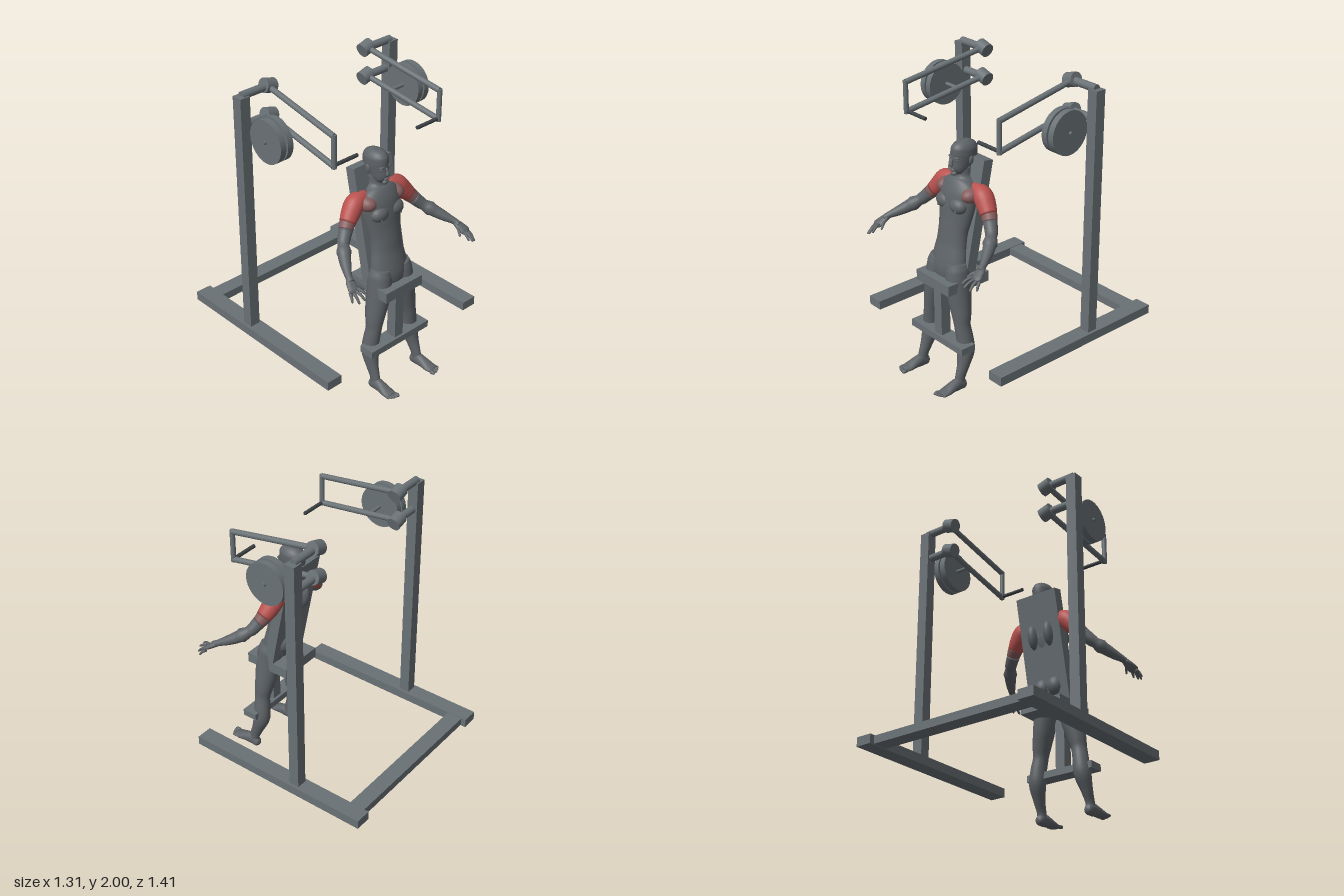
import * as THREE from 'three';

const mat = (name, color) => {
  const m = new THREE.MeshStandardMaterial({ color });
  m.name = name;
  return m;
};

// Smooth body from elliptical cross-sections: rows of [x, y, z, rx, rz]
function loft(rows, seg = 24, sub = 4) {
  const centre = new THREE.CatmullRomCurve3(rows.map(r => new THREE.Vector3(r[0], r[1], r[2])));
  const size = new THREE.CatmullRomCurve3(rows.map(r => new THREE.Vector3(r[3], r[4] ?? r[3], 0)));
  const n = (rows.length - 1) * sub, pos = [], idx = [];
  for (let k = 0; k <= n; k++) {
    const c = centre.getPoint(k / n), r = size.getPoint(k / n), t = centre.getTangent(k / n);
    const u = new THREE.Vector3(1, 0, 0).addScaledVector(t, -t.x).normalize();
    const v = t.clone().cross(u);
    for (let i = 0; i < seg; i++) {
      const a = (i / seg) * Math.PI * 2;
      const p = c.clone().addScaledVector(u, Math.cos(a) * r.x).addScaledVector(v, Math.sin(a) * r.y);
      pos.push(p.x, p.y, p.z);
    }
  }
  pos.push(...centre.getPoint(0).toArray(), ...centre.getPoint(1).toArray());
  const first = (n + 1) * seg, last = first + 1;
  for (let i = 0; i < seg; i++) {
    const j = (i + 1) % seg;
    for (let k = 0; k < n; k++) {
      const a = k * seg, b = a + seg;
      idx.push(a + i, a + j, b + i, a + j, b + j, b + i);
    }
    idx.push(first, j, i, last, n * seg + i, n * seg + j);
  }
  const g = new THREE.BufferGeometry();
  g.setAttribute('position', new THREE.Float32BufferAttribute(pos, 3));
  g.setIndex(idx);
  g.computeVertexNormals();
  return g;
}

export function createModel() {
  const steel = mat('frame grey', 0x697175);
  const skin = mat('body grey', 0x5e6367);
  const red = mat('muscle red', 0xb9524f);
  const fade = mat('muted red', 0x855c5c);
  const grip = mat('grip dark grey', 0x3c4245);

  const model = new THREE.Group();
  const machine = new THREE.Group(), figure = new THREE.Group();
  machine.name = 'pressMachine';
  figure.name = 'figure';
  model.add(machine, figure);

  const add = (parent, name, geo, m) => {
    const mesh = new THREE.Mesh(geo, m);
    mesh.name = name;
    parent.add(mesh);
    return mesh;
  };
  const box = (name, w, h, d, x, y, z) => {
    const b = add(machine, name, new THREE.BoxGeometry(w, h, d), steel);
    b.position.set(x, y, z);
    return b;
  };
  const rod = (name, a, b, r, m = steel, seg = 24) => {
    const p = new THREE.Vector3(...a), q = new THREE.Vector3(...b);
    const c = add(machine, name, new THREE.CylinderGeometry(r, r, p.distanceTo(q), seg), m);
    c.position.copy(p).add(q).multiplyScalar(0.5);
    c.quaternion.setFromUnitVectors(new THREE.Vector3(0, 1, 0), q.sub(p).normalize());
  };
  const blob = (name, p, r, m = skin, tilt = 0) => {
    const e = add(figure, name, new THREE.SphereGeometry(1, 24, 16), m);
    e.position.set(...p);
    e.scale.set(...r);
    e.rotation.x = tilt;
    return e;
  };
  const body = (name, rows, m = skin, seg = 24) => add(figure, name, loft(rows, seg), m);

  // Base, backrest, seat and foot bar
  box('rearCrossbar', 1.1, 0.052, 0.105, 0, 0.318, -0.622);
  box('backrest', 0.31, 0.79, 0.07, 0, 1.1, 0.317).rotation.x = -0.205;
  box('seat', 0.31, 0.07, 0.32, 0, 0.71, 0.405);
  box('seatPost', 0.07, 0.36, 0.07, 0, 0.5, 0.493);
  box('footBar', 0.5, 0.046, 0.105, 0, 0.313, 0.492);

  for (const s of [1, -1]) {
    box('sideRail', 0.108, 0.06, 1.29, s * 0.6, 0.318, -0.063);
    box('upright', 0.07, 1.61, 0.07, s * 0.6, 1.145, -0.2);

    // Two pivots, each with its swinging arm
    for (const [y, endY] of [[1.952, 1.858], [1.762, 1.668]]) {
      rod('pivotTube', [s * 0.6, y, -0.2], [s * 0.41, y, -0.2], 0.025);
      rod('pivotHub', [s * 0.432, y + 0.011, -0.203], [s * 0.358, y - 0.011, -0.203], 0.045);
      rod('swingArm', [s * 0.402, y, -0.2], [s * 0.428, endY, 0.395], 0.018);
    }
    rod('armLink', [s * 0.428, 1.868, 0.395], [s * 0.428, 1.655, 0.395], 0.016);
    rod('handle', [s * 0.43, 1.672, 0.392], [s * 0.245, 1.672, 0.392], 0.012, grip);

    // Weight plates on their axle
    rod('plateAxle', [s * 0.618, 1.733, 0.008], [s * 0.41, 1.733, 0.008], 0.012);
    rod('outerPlate', [s * 0.603, 1.733, 0.008], [s * 0.563, 1.733, 0.008], 0.137, steel, 48);
    rod('innerPlate', [s * 0.55, 1.733, 0.008], [s * 0.51, 1.733, 0.008], 0.137, steel, 48);
  }

  // Torso with neck
  body('torso', [
    [0, 1.43, 0.3, 0.05, 0.055], [0, 1.375, 0.305, 0.053, 0.055], [0, 1.345, 0.31, 0.085, 0.06],
    [0, 1.31, 0.325, 0.13, 0.073], [0, 1.26, 0.34, 0.148, 0.083], [0, 1.19, 0.35, 0.143, 0.088],
    [0, 1.1, 0.368, 0.127, 0.082], [0, 1.02, 0.387, 0.114, 0.077], [0, 0.95, 0.4, 0.117, 0.075],
    [0, 0.88, 0.412, 0.13, 0.08], [0, 0.8, 0.425, 0.14, 0.085], [0, 0.74, 0.43, 0.12, 0.08],
    [0, 0.7, 0.43, 0.06, 0.05],
  ], skin, 36);

  // Head
  body('head', [
    [0, 1.378, 0.355, 0.012, 0.02], [0, 1.392, 0.345, 0.034, 0.046], [0, 1.42, 0.333, 0.047, 0.064],
    [0, 1.46, 0.313, 0.056, 0.083], [0, 1.5, 0.298, 0.063, 0.092], [0, 1.54, 0.295, 0.063, 0.091],
    [0, 1.57, 0.293, 0.049, 0.073], [0, 1.587, 0.292, 0.024, 0.036], [0, 1.59, 0.292, 0.003, 0.003],
  ], skin, 32);
  body('nose', [
    [0, 1.492, 0.388, 0.007, 0.006], [0, 1.465, 0.396, 0.009, 0.011],
    [0, 1.45, 0.398, 0.014, 0.013], [0, 1.443, 0.396, 0.006, 0.006],
  ], skin, 12);
  blob('lips', [0, 1.42, 0.392], [0.021, 0.009, 0.01]);
  blob('chin', [0, 1.394, 0.38], [0.022, 0.015, 0.016]);

  for (const s of [1, -1]) {
    blob('ear', [s * 0.064, 1.475, 0.295], [0.009, 0.027, 0.017], skin, -0.2);
    blob('brow', [s * 0.025, 1.497, 0.377], [0.023, 0.007, 0.012]);
    blob('eye', [s * 0.025, 1.48, 0.373], [0.012, 0.006, 0.009]);
    blob('chestMuscle', [s * 0.062, 1.205, 0.398], [0.066, 0.052, 0.05]);
    blob('nipple', [s * 0.08, 1.18, 0.438], [0.008, 0.008, 0.008]);
    blob('shoulderBlade', [s * 0.062, 1.2, 0.268], [0.034, 0.085, 0.048], skin, -0.2);
    blob('buttock', [s * 0.05, 0.86, 0.36], [0.055, 0.07, 0.065]);

    // Shoulder, red with a muted transition on the chest and upper arm
    blob('frontShoulder', [s * 0.115, 1.275, 0.335], [0.055, 0.05, 0.075], fade);
    body('shoulder', [
      [s * 0.085, 1.31, 0.305, 0.032], [s * 0.135, 1.3, 0.3, 0.052], [s * 0.18, 1.275, 0.302, 0.063],
      [s * 0.222, 1.228, 0.312, 0.059], [s * 0.257, 1.19, 0.325, 0.05],
    ], red);
    body('upperArm', [
      [s * 0.255, 1.192, 0.324, 0.05], [s * 0.272, 1.172, 0.332, 0.047], [s * 0.285, 1.158, 0.34, 0.044],
    ], fade);
    body('forearm', [
      [s * 0.283, 1.16, 0.339, 0.044], [s * 0.33, 1.108, 0.37, 0.039], [s * 0.38, 1.062, 0.43, 0.039],
      [s * 0.42, 1.028, 0.49, 0.031], [s * 0.455, 1, 0.55, 0.021], [s * 0.462, 0.985, 0.575, 0.022],
    ]);

    // Hand: palm, thumb and four spread fingers
    body('palm', [
      [s * 0.455, 0.998, 0.55, 0.021, 0.018], [s * 0.465, 0.978, 0.58, 0.033, 0.018],
      [s * 0.475, 0.957, 0.615, 0.038, 0.016], [s * 0.479, 0.947, 0.63, 0.026, 0.01],
    ]);
    const fingers = [
      [0.5, 0.945, 0.61, 0.52, 0.903, 0.65], [0.488, 0.948, 0.622, 0.495, 0.902, 0.685],
      [0.472, 0.955, 0.625, 0.462, 0.918, 0.7], [0.455, 0.962, 0.622, 0.434, 0.932, 0.69],
      [0.45, 0.978, 0.575, 0.412, 0.945, 0.635],
    ];
    for (const [a, b, c, d, e, f] of fingers) {
      body('finger', [
        [s * a, b, c, 0.011], [s * (a + d) / 2, (b + e) / 2 + 0.006, (c + f) / 2, 0.009],
        [s * (a * 0.1 + d * 0.9), b * 0.1 + e * 0.9, c * 0.1 + f * 0.9, 0.007], [s * d, e, f, 0.002],
      ], skin, 10);
    }

    // Leg, foot and toes
    body('leg', [
      [s * 0.08, 0.84, 0.428, 0.06, 0.07], [s * 0.086, 0.79, 0.43, 0.075, 0.083],
      [s * 0.095, 0.71, 0.44, 0.075, 0.085], [s * 0.117, 0.6, 0.445, 0.068, 0.077],
      [s * 0.14, 0.5, 0.452, 0.058, 0.062], [s * 0.152, 0.43, 0.456, 0.049, 0.053],
      [s * 0.165, 0.35, 0.45, 0.052, 0.055], [s * 0.174, 0.27, 0.45, 0.055, 0.057],
      [s * 0.183, 0.17, 0.48, 0.038, 0.042], [s * 0.186, 0.09, 0.51, 0.027, 0.036],
      [s * 0.187, 0.04, 0.515, 0.029, 0.036],
    ]);
    body('foot', [
      [s * 0.187, 0.03, 0.47, 0.012, 0.012], [s * 0.187, 0.034, 0.482, 0.027, 0.03],
      [s * 0.187, 0.05, 0.525, 0.031, 0.045], [s * 0.188, 0.047, 0.58, 0.036, 0.034],
      [s * 0.19, 0.038, 0.63, 0.041, 0.022], [s * 0.19, 0.037, 0.668, 0.036, 0.014],
    ]);
    for (let i = 0; i < 5; i++) {
      const r = i ? 0.009 : 0.013;
      blob('toe', [s * (0.162 + i * 0.0155), 0.038, 0.68 - i * i * 0.0015], [r, r, 0.024]);
    }
  }
  return model;
}
